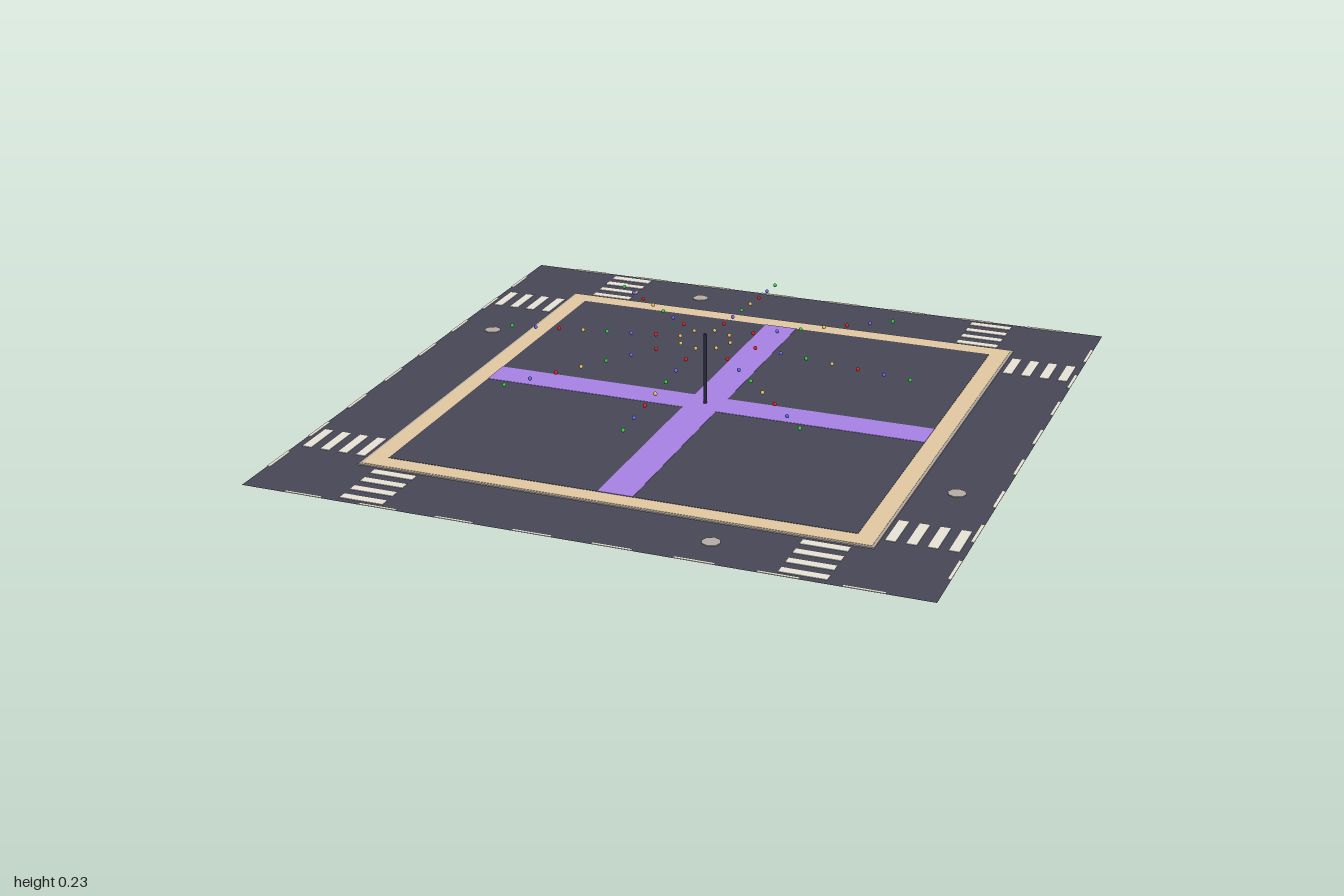
import * as THREE from 'three';

const mat = (name, color) => {
  const m = new THREE.MeshStandardMaterial({ color });
  m.name = name;
  return m;
};

export function createModel() {
  const asphalt = mat('asphalt', 0x464656);
  asphalt.side = THREE.DoubleSide;
  const stone = mat('grey stone', 0xb4aca4);
  const sand = mat('sand paving', 0xe0c8a0);
  const purple = mat('purple paving', 0xa881e4);
  const paint = mat('road paint', 0xebe6da);
  const dark = mat('dark metal', 0x2a2838);
  const red = mat('red bulb', 0xf02020);
  const green = mat('green bulb', 0x30d040);
  const amber = mat('amber bulb', 0xf0c860);
  const blue = mat('blue bulb', 0x6c6cf0);

  const model = new THREE.Group();
  model.name = 'citySquare';

  const add = (parent, name, geometry, material, x = 0, y = 0, z = 0) => {
    const mesh = new THREE.Mesh(geometry, material);
    mesh.name = name;
    mesh.position.set(x, y, z);
    parent.add(mesh);
    return mesh;
  };
  // Box given by its footprint and its bottom and top heights
  const slab = (parent, name, w, d, y0, y1, material, x = 0, z = 0) =>
    add(parent, name, new THREE.BoxGeometry(w, y1 - y0, d), material, x, (y0 + y1) / 2, z);

  // Road surface
  const ground = add(model, 'road', new THREE.PlaneGeometry(2, 2), asphalt);
  ground.rotation.x = -Math.PI / 2;

  // Raised square: kerb, pavement, plaza and crossing paths
  slab(model, 'kerb', 1.528, 1.528, 0.0005, 0.004, stone);
  slab(model, 'pavement', 1.512, 1.512, 0.003, 0.005, sand);
  slab(model, 'plaza', 1.4, 1.4, 0.004, 0.006, asphalt);
  slab(model, 'pathAcross', 1.4, 0.106, 0.005, 0.007, purple);
  for (const s of [-1, 1]) {
    slab(model, 'pathAlong', 0.106, 0.647, 0.005, 0.007, purple, 0, s * 0.3765);
  }

  // Road markings, repeated on the four sides
  for (let side = 0; side < 4; side++) {
    const street = new THREE.Group();
    street.name = 'street';
    street.rotation.y = side * Math.PI / 2;
    model.add(street);
    for (const s of [-1, 1]) {
      for (let i = 0; i < 4; i++) {
        slab(street, 'crosswalkStripe', 0.134, 0.03, 0.0005, 0.002, paint, s * 0.638, 0.79 + i * 0.058);
      }
    }
    for (let i = 0; i < 8; i++) {
      slab(street, 'laneDash', 0.115, 0.01, 0.0005, 0.002, paint, (i - 3.5) * 0.231, 0.995);
    }
  }

  // Manhole covers
  for (const [x, z] of [[-0.35, -0.877], [-0.877, -0.35], [0.877, 0.35], [0.35, 0.877]]) {
    add(model, 'manholeCover', new THREE.CylinderGeometry(0.027, 0.027, 0.002, 8), stone, x, 0.0015, z);
  }

  // Central pole
  add(model, 'pole', new THREE.CylinderGeometry(0.005, 0.006, 0.224, 8), dark, 0, 0.118, 0);

  // Eight strings of bulbs falling away from the pole
  const bulbGeometry = new THREE.SphereGeometry(0.006, 8, 6);
  const bulbColours = [green, amber, red, blue];
  for (let k = 0; k < 8; k++) {
    const string = new THREE.Group();
    string.name = 'lightString';
    string.rotation.y = k * Math.PI / 4;
    model.add(string);
    for (let i = 1; i <= 8; i++) {
      add(string, 'bulb', bulbGeometry, bulbColours[i % 4], i * 0.0795, 0.218 - i * 0.0058, 0);
    }
  }
  return model;
}
